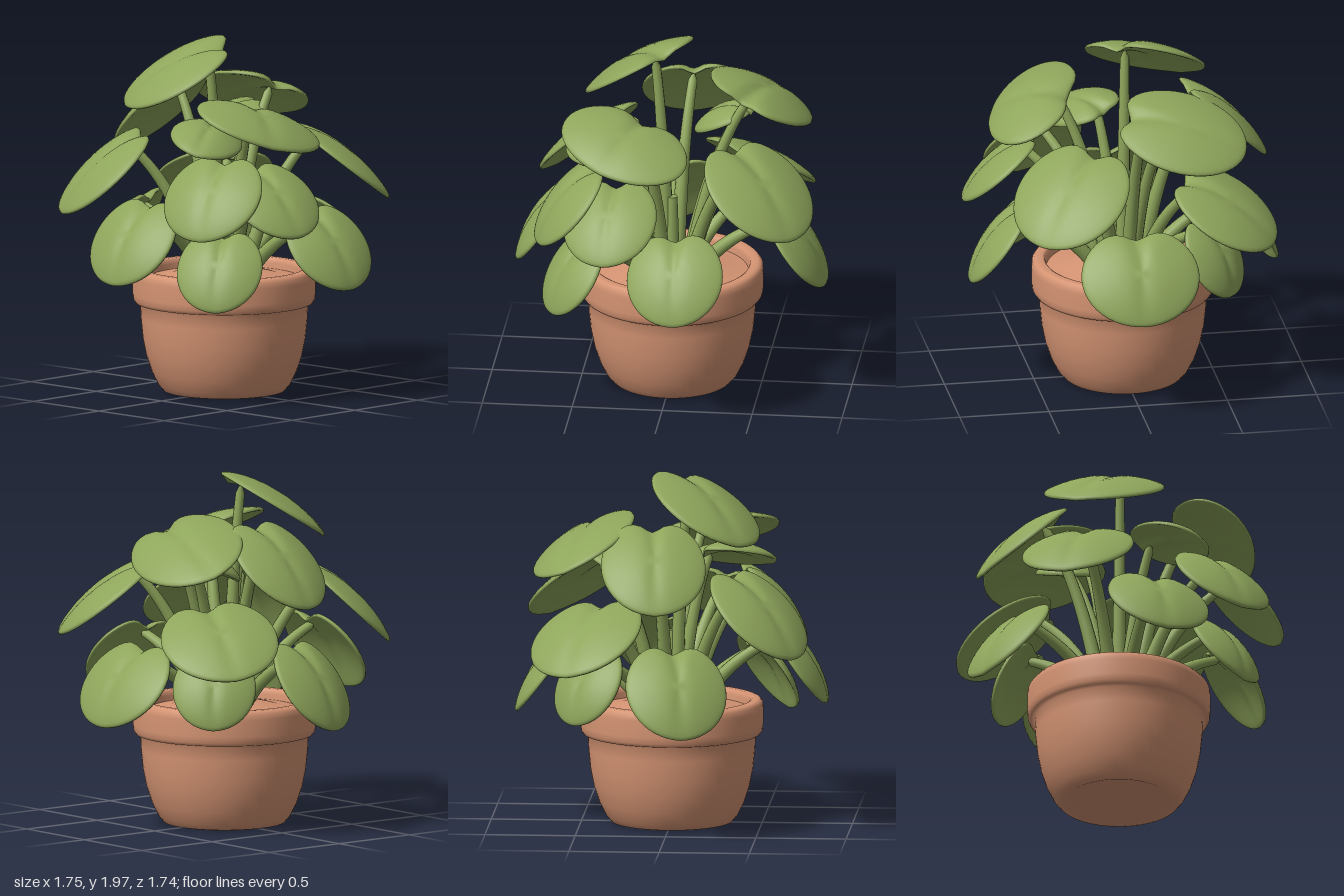
import * as THREE from 'three';
import { mergeVertices } from 'three/addons/utils/BufferGeometryUtils.js';

// Upper leaves: centre x, y, z, facing angle, tilt, tip heading (degrees), length, width
const UPPER_LEAVES = [
  [-0.165, 1.825, 0.215, -25, 32, -51, 0.7, 0.66],
  [-0.25, 1.63, -0.485, -163, 28, -104, 0.75, 0.61],
  [0.48, 1.59, 0.21, 104, 25, 63, 0.52, 0.75],
  [-0.57, 1.55, -0.06, -81, 44, -84, 0.66, 0.58],
  [0.19, 1.5, 0.33, 85, 20, 30, 0.5, 0.4],
  [-0.2, 1.52, -0.27, -15, 25, -20, 0.4, 0.36],
];
const MIDDLE_LEAVES = [
  [0.39, 1.315, -0.54, 143, 38, 135, 0.7, 0.66],
  [-0.435, 1.28, 0.53, -31, 43, -37, 0.68, 0.62],
  [-0.51, 1.15, -0.45, -125, 33, -110, 0.67, 0.65],
  [0.425, 1.215, 0.55, 16, 50, 18, 0.58, 0.58],
  [0.66, 1.2, 0.28, 76, 41, 85, 0.57, 0.53],
];
// Drooping leaves have their tips straight downhill
const LOW_LEAVES = [
  [-0.02, 0.945, 0.73, 0, 55, 0, 0.57, 0.58],
  [-0.7, 0.875, 0.08, -71, 55, -78, 0.6, 0.57],
  [0.46, 0.805, 0.525, 32, 57, 31, 0.52, 0.48],
  [0.735, 0.9, -0.09, 83, 53, 95, 0.56, 0.54],
  [0.02, 0.87, -0.72, 180, 53, 180, 0.57, 0.66],
  [-0.46, 0.865, -0.45, -131, 60, -133, 0.5, 0.46],
];

// Round, notched, gently domed leaf made from a flattened sphere; tip at +x
function leafGeometry(length, width) {
  const g = new THREE.SphereGeometry(1, 48, 20);
  const p = g.attributes.position;
  for (let i = 0; i < p.count; i++) {
    const x = p.getX(i), y = p.getY(i), z = p.getZ(i);
    const s = Math.min(1, Math.hypot(x, z));
    const away = Math.PI - Math.abs(Math.atan2(z, x));
    const r = 1 - 0.24 * s * Math.exp(-((away / 0.32) ** 2));
    const u = x * r, v = z * r;
    const thick = 0.022 * Math.sign(y) * Math.sqrt(Math.abs(y));
    const dome = 0.025 - 0.06 * s * s;
    const crease = -0.014 * Math.exp(-((v / 0.14) ** 2)) * (1 - 0.7 * u);
    p.setXYZ(i, u * length / 2, thick + dome + crease, v * width / 2);
  }
  g.deleteAttribute('uv');
  g.deleteAttribute('normal');
  const merged = mergeVertices(g, 1e-5);
  merged.computeVertexNormals();
  return merged;
}

// Stalk that narrows from base to tip and closes at the leaf
function stalkGeometry(curve, r0, r1) {
  const rings = 20, sides = 10;
  const g = new THREE.TubeGeometry(curve, rings, 1, sides, false);
  const p = g.attributes.position;
  const q = new THREE.Vector3();
  for (let i = 0; i < p.count; i++) {
    const t = Math.floor(i / (sides + 1)) / rings;
    const c = curve.getPointAt(t);
    const r = t < 1 ? THREE.MathUtils.lerp(r0, r1, t) : 0;
    q.fromBufferAttribute(p, i).sub(c).multiplyScalar(r).add(c);
    p.setXYZ(i, q.x, q.y, q.z);
  }
  return g;
}

// Placement of a leaf: x along the tip, y along the facing direction
function leafFrame(x, y, z, facing, tilt, heading) {
  const rad = THREE.MathUtils.degToRad;
  const n = new THREE.Vector3().setFromSphericalCoords(1, rad(tilt), rad(facing));
  const t = new THREE.Vector3(Math.sin(rad(heading)), 0, Math.cos(rad(heading)));
  t.y = -t.dot(n) / n.y;
  t.normalize();
  return new THREE.Matrix4().makeBasis(t, n, t.clone().cross(n)).setPosition(x, y, z);
}

function lathe(points) {
  return new THREE.LatheGeometry(points.map((a) => new THREE.Vector2(...a)), 64);
}

export function createModel() {
  const model = new THREE.Group();
  const green = new THREE.MeshStandardMaterial({ color: 0x8ea55b });
  green.name = 'leaf green';
  const terracotta = new THREE.MeshStandardMaterial({ color: 0xd59473 });
  terracotta.name = 'terracotta';

  const add = (parent, name, geometry, material) => {
    const mesh = new THREE.Mesh(geometry, material);
    mesh.name = name;
    parent.add(mesh);
    return mesh;
  };

  // Pot with rounded base, thick rim and inner wall
  add(model, 'pot', lathe([
    [0, 0.012], [0.29, 0.012], [0.3, 0.008], [0.335, 0.015], [0.365, 0.05], [0.4, 0.12], [0.43, 0.21],
    [0.45, 0.31], [0.461, 0.42], [0.465, 0.5], [0.49, 0.507], [0.502, 0.525],
    [0.506, 0.56], [0.506, 0.65], [0.503, 0.68], [0.49, 0.696], [0.475, 0.7],
    [0.445, 0.7], [0.432, 0.693], [0.426, 0.67], [0.42, 0.6],
  ]), terracotta);

  // Slightly mounded soil
  add(model, 'soil', lathe([[0.425, 0.64], [0.32, 0.655], [0.2, 0.685], [0.1, 0.705], [0, 0.71]]), terracotta);

  // Leaves with their stalks
  for (const leaves of [UPPER_LEAVES, MIDDLE_LEAVES, LOW_LEAVES]) {
    for (const [x, y, z, facing, tilt, heading, length, width] of leaves) {
      const plant = new THREE.Group();
      plant.name = 'leafAndStalk';
      model.add(plant);
      const frame = leafFrame(x, y, z, facing, tilt, heading);
      add(plant, 'leaf', leafGeometry(length, width), green).applyMatrix4(frame);

      const end = new THREE.Vector3(-0.28 * length, -0.018, 0).applyMatrix4(frame);
      const base = new THREE.Vector3(end.x * 0.22, 0.64, end.z * 0.22);
      const bend = new THREE.Vector3(
        THREE.MathUtils.lerp(base.x, end.x, 0.35),
        THREE.MathUtils.lerp(base.y, end.y, 0.7),
        THREE.MathUtils.lerp(base.z, end.z, 0.35),
      );
      add(plant, 'stalk', stalkGeometry(new THREE.QuadraticBezierCurve3(base, bend, end), 0.044, 0.025), green);
    }
  }

  // Short bare stem in the middle
  const stub = add(model, 'middleStem', new THREE.CylinderGeometry(0.03, 0.045, 0.45, 12), green);
  stub.position.y = 0.86;

  return model;
}
